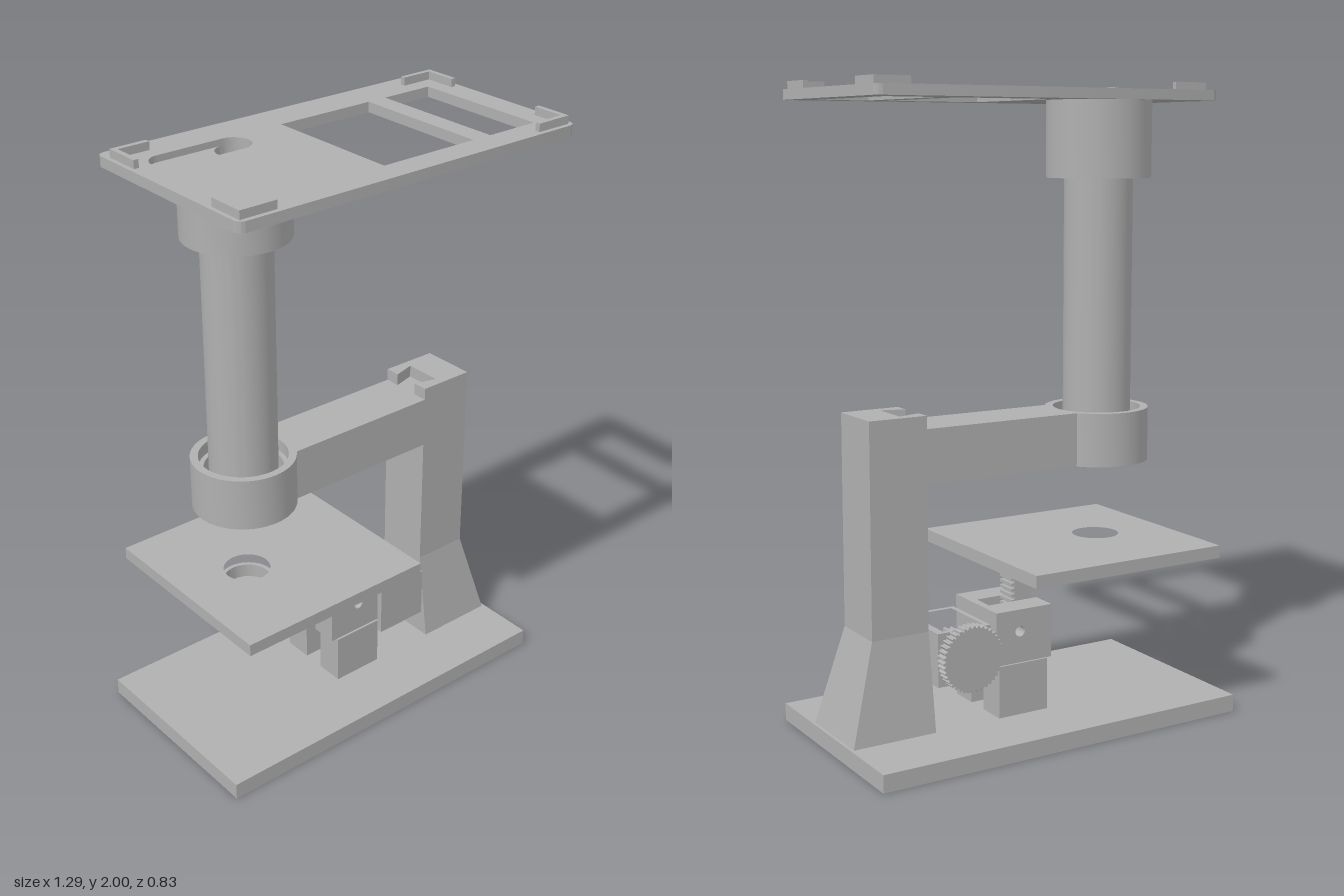
import * as THREE from 'three';
import { toCreasedNormals } from 'three/addons/utils/BufferGeometryUtils.js';

const AX = -0.31, AZ = -0.0725; // optical axis; AZ is also the middle of arm, pillar and rack

export function createModel() {
  const group = new THREE.Group();
  group.name = 'phoneMicroscopeStand';
  const grey = new THREE.MeshStandardMaterial({ color: 0xb0b0b0 });
  grey.name = 'grey plastic';

  const add = (name, geometry, parent = group) => {
    const mesh = new THREE.Mesh(geometry, grey);
    mesh.name = name;
    parent.add(mesh);
    return mesh;
  };
  const assembly = (name) => {
    const g = new THREE.Group();
    g.name = name;
    group.add(g);
    return g;
  };
  // Box given by its limits
  const box = (name, x0, x1, y0, y1, z0, z1, parent) =>
    add(name, new THREE.BoxGeometry(x1 - x0, y1 - y0, z1 - z0)
      .translate((x0 + x1) / 2, (y0 + y1) / 2, (z0 + z1) / 2), parent);

  // Plan outlines are drawn in (x, -z) and extruded upwards
  const poly = (pts) => new THREE.Shape(pts.map(([x, z]) => new THREE.Vector2(x, -z)));
  const rect = (x0, x1, z0, z1) => poly([[x0, z0], [x1, z0], [x1, z1], [x0, z1]]);
  const circle = (x, z, r) => new THREE.Path().absarc(x, -z, r, 0, Math.PI * 2, true);
  const slab = (name, shape, y0, y1, holes = [], parent = group) => {
    shape.holes = holes;
    const geo = new THREE.ExtrudeGeometry(shape, { depth: y1 - y0, bevelEnabled: false, curveSegments: 24 });
    return add(name, toCreasedNormals(geo.rotateX(-Math.PI / 2).translate(0, y0, 0), 0.5), parent);
  };
  // Hollow turned part around the optical axis; profile is a closed [radius, y] loop
  const turned = (name, profile) => {
    const pts = [...profile, profile[0]].map(([r, y]) => new THREE.Vector2(r, y));
    return add(name, toCreasedNormals(new THREE.LatheGeometry(pts, 64), 0.5).translate(AX, 0, AZ));
  };

  box('base', -0.62, 0.645, 0, 0.055, -0.415, 0.265);

  // Pillar: flared foot, straight shaft and a dovetail slot open at the top
  const foot = new THREE.BoxGeometry(1, 1, 1);
  const p = foot.attributes.position;
  for (let i = 0; i < p.count; i++) {
    const low = p.getY(i) < 0;
    p.setXYZ(i, p.getX(i) < 0 ? 0.36 : low ? 0.635 : 0.55, low ? 0.055 : 0.36,
      AZ + Math.sign(p.getZ(i)) * (low ? 0.135 : 0.0925));
  }
  const flatFoot = foot.toNonIndexed();
  flatFoot.computeVertexNormals();
  const pillar = assembly('pillar');
  add('pillarFoot', flatFoot, pillar);
  box('pillarShaft', 0.36, 0.55, 0.36, 0.81, AZ - 0.0925, AZ + 0.0925, pillar);
  slab('pillarHead', poly([
    [0.36, AZ + 0.0925], [0.55, AZ + 0.0925], [0.55, AZ - 0.0925], [0.36, AZ - 0.0925],
    [0.36, AZ - 0.042], [0.435, AZ - 0.063], [0.435, AZ + 0.063], [0.36, AZ + 0.042],
  ]), 0.81, 1.02, [], pillar);

  // Arm with dovetail end; the near end is hollowed to follow the tube socket
  const armShape = new THREE.Shape();
  const a = Math.asin(0.0925 / 0.155);
  armShape.absarc(AX, -AZ, 0.155, -a, a, false);
  [[0.36, -0.0925], [0.36, -0.042], [0.435, -0.063], [0.435, 0.063], [0.36, 0.042], [0.36, 0.0925]]
    .forEach(([x, dz]) => armShape.lineTo(x, -(AZ + dz)));
  slab('arm', armShape, 0.81, 0.98);

  // Tube and its two sockets
  turned('lowerSocket', [[0.09, 0.81], [0.165, 0.81], [0.165, 0.98], [0.14, 0.98],
    [0.14, 0.94], [0.124, 0.94], [0.124, 0.83], [0.09, 0.83]]);
  turned('opticalTube', [[0.085, 0.83], [0.108, 0.83], [0.108, 1.925], [0.085, 1.925]]);
  turned('upperSocket', [[0.14, 1.705], [0.165, 1.705], [0.165, 1.943], [0.053, 1.943],
    [0.053, 1.922], [0.124, 1.922], [0.124, 1.745], [0.14, 1.745]]);

  // Phone tray: lower layer with the eyepiece hole, upper layer with the long recess
  const tray = assembly('phoneTray');
  const trayOutline = () => {
    const s = new THREE.Shape(), r = 0.025, x0 = -0.65, x1 = 0.55, y0 = -0.415, y1 = 0.24;
    s.absarc(x1 - r, y1 - r, r, 0, Math.PI / 2, false);
    s.absarc(x0 + r, y1 - r, r, Math.PI / 2, Math.PI, false);
    s.absarc(x0 + r, y0 + r, r, Math.PI, Math.PI * 1.5, false);
    s.absarc(x1 - r, y0 + r, r, Math.PI * 1.5, Math.PI * 2, false);
    return s;
  };
  const windows = () => [rect(-0.105, 0.225, -0.12, 0.33), rect(0.29, 0.465, -0.12, 0.33)];
  const recess = new THREE.Path();
  recess.absarc(AX, -AZ, 0.053, -Math.PI / 2, Math.PI / 2, false);
  recess.absarc(-0.527, -AZ, 0.053, Math.PI / 2, Math.PI * 1.5, false);
  slab('trayBottom', trayOutline(), 1.943, 1.955, [...windows(), circle(AX, AZ, 0.053)], tray);
  slab('trayTop', trayOutline(), 1.955, 1.975, [...windows(), recess], tray);

  // Corner stops
  for (const [x, sx] of [[-0.637, 1], [0.533, -1]])
    for (const [z, sz] of [[-0.19, 1], [0.4, -1]])
      slab('cornerStop', poly([[0, 0], [0.118, 0], [0.118, 0.016], [0.016, 0.016], [0.016, 0.118], [0, 0.118]]
        .map(([u, v]) => [x + sx * u, z + sz * v])), 1.975, 2, [], tray);

  // Specimen stage with the lamp cup beneath
  const stage = assembly('stage');
  slab('stagePlate', rect(-0.55, 0.135, -0.415, 0.265), 0.52, 0.56, [circle(AX, AZ, 0.075)], stage);
  const disc = () => new THREE.Shape().absarc(AX, -AZ, 0.0885, 0, Math.PI * 2, false);
  slab('lampCupWall', disc(), 0.475, 0.52, [circle(AX, AZ, 0.075)], stage);
  const lampHoles = [];
  for (const i of [-1, 1]) for (const j of [-1, 1])
    lampHoles.push(circle(AX + i * 0.022, AZ + j * 0.022, 0.018));
  slab('lampCupFloor', disc(), 0.46, 0.475, lampHoles, stage);

  // Focus rack: two guide posts, a sleeve with a cross hole, and a toothed rod
  const focus = assembly('focusDrive');
  for (const s of [-1, 1]) {
    const inner = AZ + s * 0.0375, outer = AZ + s * 0.1325;
    box('guidePost', -0.04, 0.135, 0.055, 0.22, Math.min(inner, outer), Math.max(inner, outer), focus);
  }
  const sleeve = new THREE.Shape([[-0.06, 0.22], [0.14, 0.22], [0.14, 0.39], [-0.06, 0.39]]
    .map(([x, y]) => new THREE.Vector2(x, y)));
  sleeve.holes = [new THREE.Path().absarc(0.055, 0.32, 0.017, 0, Math.PI * 2, true)];
  for (const z of [AZ - 0.125, AZ + 0.0375])
    add('sleeveCheek', new THREE.ExtrudeGeometry(sleeve, { depth: 0.0875, bevelEnabled: false }).translate(0, 0, z), focus);
  box('sleeveEnd', 0.115, 0.14, 0.22, 0.39, AZ - 0.0375, AZ + 0.0375, focus);
  box('rackRod', -0.04, 0.02, 0.22, 0.52, AZ - 0.035, AZ + 0.035, focus);
  for (let y = 0.24; y < 0.5; y += 0.018)
    box('rackTooth', 0.02, 0.031, y, y + 0.009, AZ - 0.035, AZ + 0.035, focus);

  // Open-topped pinion housing
  const [hx0, hx1, hy0, hy1, hz0, hz1] = [0.14, 0.325, 0.175, 0.345, -0.16, 0.072];
  slab('pinionHousing', rect(hx0, hx1, hz0, hz1), hy0 + 0.02, hy1,
    [rect(hx0 + 0.016, hx1 - 0.025, hz0 + 0.016, hz1 - 0.016)], focus);
  box('housingFloor', hx0, hx1, hy0, hy0 + 0.02, hz0, hz1, focus);

  // Pinion, shaft and toothed knob share one axis
  const gear = (name, radius, depth, teeth, z0, length) => {
    const pts = [];
    for (let i = 0; i < teeth * 4; i++) {
      const t = (i / (teeth * 4)) * Math.PI * 2, r = i % 4 < 2 ? radius : radius - depth;
      pts.push(new THREE.Vector2(0.225 + r * Math.cos(t), 0.26 + r * Math.sin(t)));
    }
    add(name, new THREE.ExtrudeGeometry(new THREE.Shape(pts), { depth: length, bevelEnabled: false })
      .translate(0, 0, z0), focus);
  };
  gear('pinion', 0.06, 0.014, 14, AZ - 0.035, 0.07);
  gear('focusKnob', 0.106, 0.007, 40, -0.205, 0.04);
  add('pinionShaft', new THREE.CylinderGeometry(0.02, 0.02, 0.23, 24).rotateX(Math.PI / 2)
    .translate(0.225, 0.26, -0.055), focus);

  return group;
}
